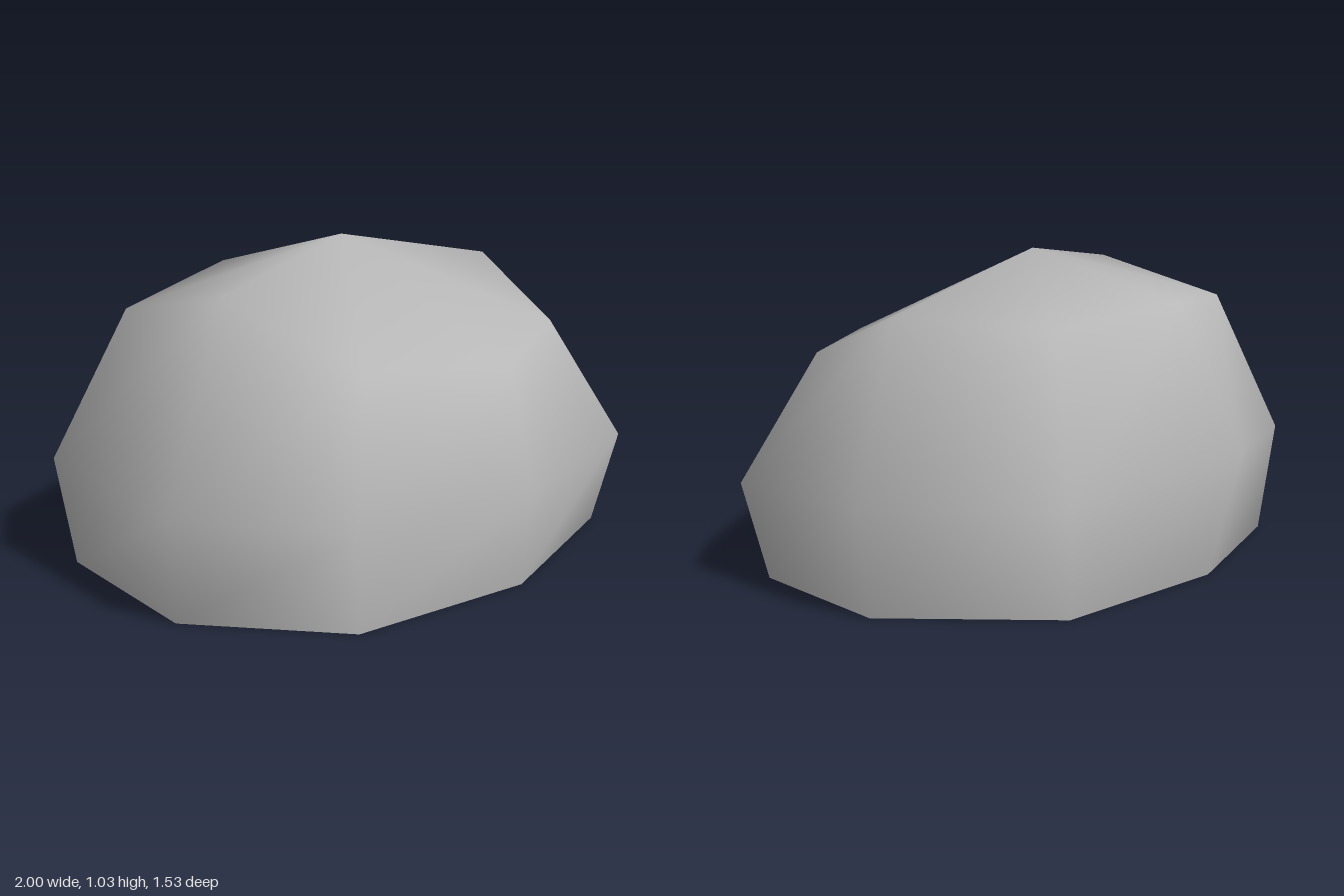
import * as THREE from 'three';

// Irregular boulder: an open, smooth shell lofted through three eight-sided rings to a peak.
export function createModel() {
  const group = new THREE.Group();
  group.name = 'boulder';
  const stone = new THREE.MeshStandardMaterial({ color: 0xb8b8b8 });
  stone.name = 'grey stone';
  stone.side = THREE.DoubleSide;

  // Each ring runs from the front towards +x and on around the back.
  const rings = [
    // ground edge
    [[-0.03, 0, 0.73], [0.7, 0, 0.57], [0.97, 0, 0.03], [0.72, 0, -0.51],
      [0.02, 0, -0.665], [-0.71, 0, -0.56], [-0.945, 0, 0.07], [-0.69, 0, 0.57]],
    // widest part
    [[-0.03, 0.31, 0.765], [0.74, 0.31, 0.645], [1, 0.34, 0.05], [0.765, 0.34, -0.53],
      [0, 0.41, -0.77], [-0.76, 0.36, -0.6], [-1, 0.34, 0.09], [-0.72, 0.32, 0.58]],
    // shoulder
    [[-0.05, 0.715, 0.68], [0.57, 0.72, 0.46], [0.78, 0.88, 0.05], [0.59, 0.84, -0.4],
      [0.08, 0.885, -0.575], [-0.56, 0.84, -0.45], [-0.66, 0.95, 0.03], [-0.53, 0.75, 0.47]],
  ];
  const peak = [0.07, 1.035, -0.055];
  const n = 8;
  const index = [];
  for (let i = 0; i < n; i++) {
    const j = (i + 1) % n;
    for (let r = 0; r < rings.length - 1; r++) {
      const a = r * n + i, b = r * n + j, c = b + n, d = a + n;
      index.push(a, b, c, a, c, d);
    }
    // cap facet up to the peak
    index.push(2 * n + i, 2 * n + j, 3 * n);
  }

  const shell = new THREE.BufferGeometry();
  shell.setAttribute('position', new THREE.Float32BufferAttribute([...rings.flat(2), ...peak], 3));
  shell.setIndex(index);
  shell.computeVertexNormals();

  const mesh = new THREE.Mesh(shell, stone);
  mesh.name = 'rockShell';
  group.add(mesh);
  return group;
}
